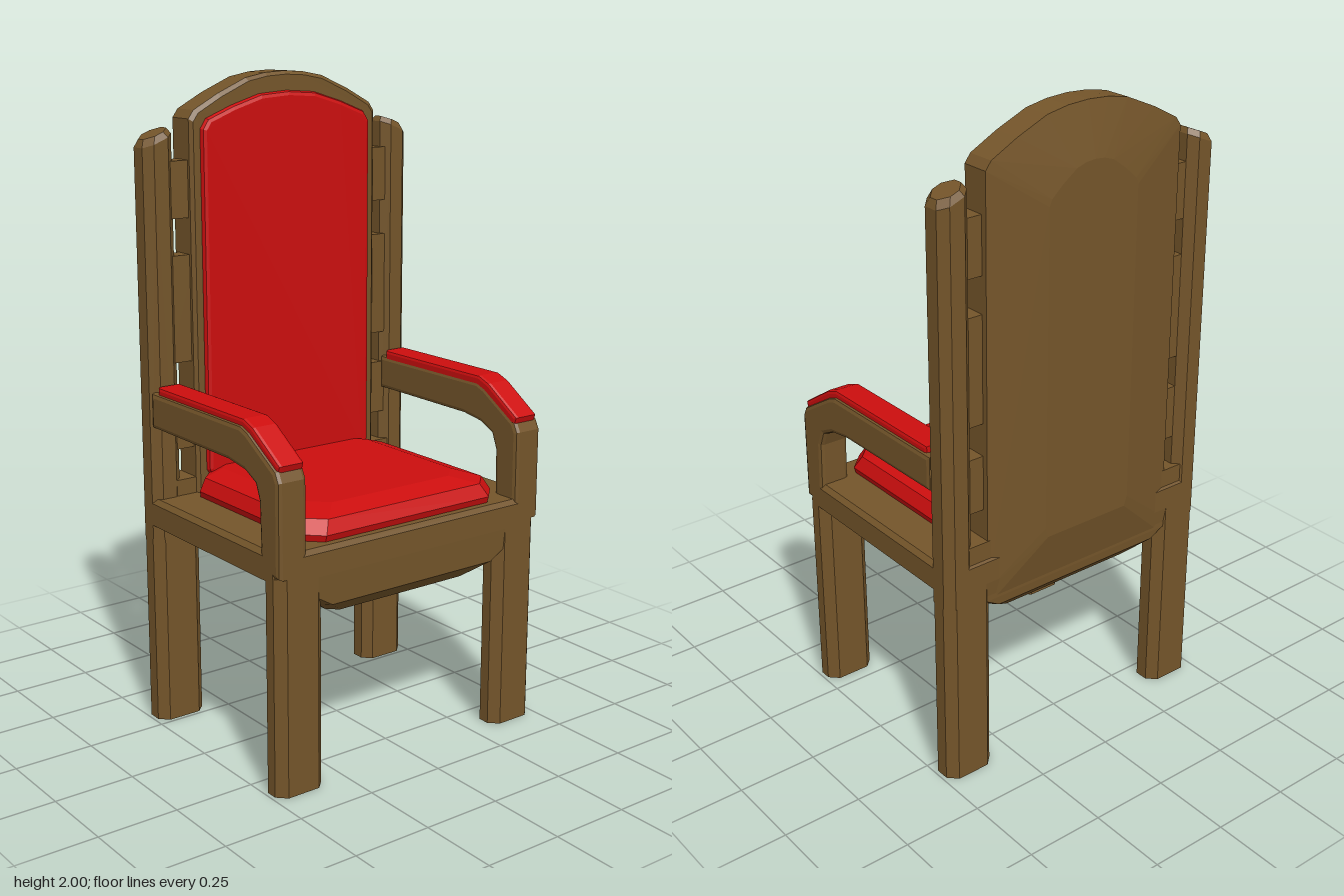
import * as THREE from 'three';
import { ConvexGeometry } from 'three/addons/geometries/ConvexGeometry.js';

const wood = new THREE.MeshStandardMaterial({ color: 0x74552a, flatShading: true });
const red = new THREE.MeshStandardMaterial({ color: 0xcc0e0e, flatShading: true });

// Horizontal rectangle with cut corners at height y (y may depend on z)
function ring(x0, x1, z0, z1, y, c) {
  const pts = [];
  for (const [x, sx] of [[x0, 1], [x1, -1]]) {
    for (const [z, sz] of [[z0, 1], [z1, -1]]) {
      for (const [px, pz] of [[x + sx * c, z], [x, z + sz * c]]) {
        pts.push(new THREE.Vector3(px, typeof y === 'function' ? y(pz) : y, pz));
      }
    }
  }
  return pts;
}

// Bevelled slab: outline kept at its drawn size, spanning 0..depth
function slab(points, depth, bevel) {
  const shape = new THREE.Shape(points.map(([x, y]) => new THREE.Vector2(x, y)));
  const geo = new THREE.ExtrudeGeometry(shape, {
    depth: depth - 2 * bevel, bevelThickness: bevel, bevelSize: bevel,
    bevelOffset: -bevel, bevelSegments: 2,
  });
  return geo.translate(0, 0, bevel);
}

// Symmetric outline from its right half, listed bottom to top
const mirrored = (half) =>
  [...half, ...half.filter(([z]) => z > 0).reverse().map(([z, y]) => [-z, y])];

export function createModel() {
  const model = new THREE.Group();
  const add = (name, geo, mat) => {
    const mesh = new THREE.Mesh(geo, mat);
    mesh.name = name;
    model.add(mesh);
    return mesh;
  };

  // Seat frame with a belly that narrows underneath
  add('seatFrame', new ConvexGeometry([
    ...ring(-0.35, 0.375, -0.475, 0.475, 0.73, 0.03),
    ...ring(-0.36, 0.385, -0.488, 0.488, 0.715, 0.03),
    ...ring(-0.36, 0.385, -0.488, 0.488, 0.645, 0.03),
    ...ring(-0.35, 0.38, -0.33, 0.33, 0.55, 0.03),
    ...ring(-0.3, 0.32, -0.26, 0.26, 0.5, 0.03),
  ]), wood);

  // Seat cushion
  add('seatCushion', new ConvexGeometry([
    ...ring(-0.27, 0.35, -0.355, 0.355, 0.72, 0.05),
    ...ring(-0.27, 0.36, -0.365, 0.365, 0.75, 0.06),
    ...ring(-0.27, 0.34, -0.345, 0.345, 0.79, 0.06),
    ...ring(-0.27, 0.27, -0.28, 0.28, 0.81, 0.06),
  ]), red);

  // Back panel with an arched top and a shallow bulge behind
  const arch = mirrored([[0.32, 0.58], [0.343, 0.62], [0.343, 1.87], [0.325, 1.895],
    [0.24, 1.94], [0.14, 1.983], [0.07, 1.996], [0, 2]]);
  const layer = (x, sz, sy) => arch.map(([z, y]) =>
    new THREE.Vector3(x, 1.3 + (y - 1.3) * sy, z * sz));
  add('backPanel', new ConvexGeometry([
    ...layer(-0.255, 0.97, 0.985), ...layer(-0.265, 1, 1),
    ...layer(-0.353, 1, 1), ...layer(-0.388, 0.46, 0.78),
  ]), wood);

  // Back cushion
  const backPad = mirrored([[0.29, 0.77], [0.31, 0.8], [0.31, 1.84], [0.29, 1.87],
    [0.2, 1.905], [0.1, 1.935], [0, 1.942]]);
  add('backCushion', slab(backPad, 0.045, 0.014)
    .rotateY(Math.PI / 2).translate(-0.283, 0, 0), red);

  // Solid bridge at the foot of the back
  add('backBridge', new THREE.BoxGeometry(0.09, 0.2, 0.86).translate(-0.31, 0.68, 0), wood);

  // Side outlines of the arm and its pad
  const armOutline = [[-0.28, 0.955], [0.14, 0.952], [0.22, 0.94], [0.27, 0.915],
    [0.288, 0.87], [0.295, 0.66], [0.385, 0.66], [0.385, 0.94], [0.37, 0.97],
    [0.235, 1.052], [0.2, 1.065], [-0.28, 1.065]];
  const padOutline = [[-0.255, 1.04], [0.19, 1.04], [0.34, 0.955], [0.37, 0.962],
    [0.378, 0.985], [0.25, 1.068], [0.205, 1.085], [-0.255, 1.085]];

  for (const s of [1, -1]) {
    const side = s > 0 ? 'left' : 'right';
    const place = (z0, z1) => (s > 0 ? [z0, z1] : [-z1, -z0]);
    const [l0, l1] = place(0.325, 0.488);
    const [p0, p1] = place(0.39, 0.488);

    // Legs
    for (const [name, x0, x1] of [['FrontLeg', 0.293, 0.385], ['BackLeg', -0.36, -0.262]]) {
      add(side + name, new ConvexGeometry([
        ...ring(x0, x1, l0, l1, 0, 0.028), ...ring(x0, x1, l0, l1, 0.66, 0.028),
      ]), wood);
    }

    // Back post, its top sloping down to the outside
    const slope = (z) => 1.85 - (Math.abs(z) - 0.39) * 0.4;
    add(side + 'BackPost', new ConvexGeometry([
      ...ring(-0.36, -0.262, p0, p1, 0.6, 0.025),
      ...ring(-0.36, -0.262, p0, p1, (z) => slope(z) - 0.02, 0.025),
      ...ring(-0.35, -0.272, p0 + 0.01, p1 - 0.01, slope, 0.025),
    ]), wood);

    // Slats between post and panel
    for (const [y0, y1] of [[0.875, 1.045], [1.145, 1.47], [1.58, 1.75]]) {
      add(side + 'Slat', new THREE.BoxGeometry(0.06, y1 - y0, 0.1)
        .translate(-0.305, (y0 + y1) / 2, s * 0.37), wood);
    }

    // Armrest and pad
    add(side + 'Armrest', slab(armOutline, 0.098, 0.014).translate(0, 0, p0), wood);
    const [a0] = place(0.393, 0.478);
    add(side + 'ArmPad', slab(padOutline, 0.085, 0.01).translate(0, 0, a0), red);
  }
  return model;
}
